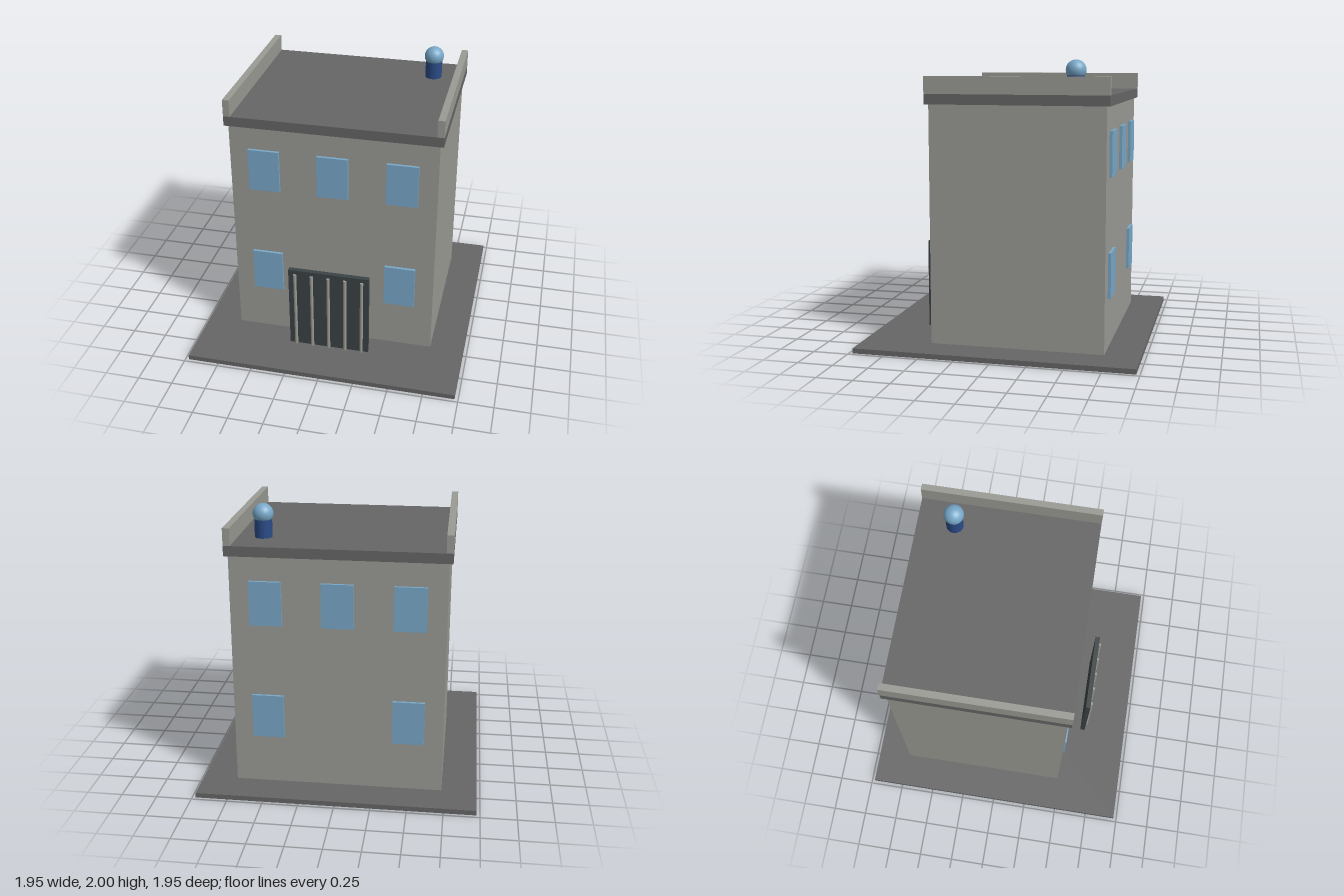
import * as THREE from 'three';

const material = (name, color) => {
  const m = new THREE.MeshStandardMaterial({ color });
  m.name = name;
  return m;
};

export function createModel() {
  const wall = material('wall grey', 0x9a9a94);
  const slab = material('slab grey', 0x666666);
  const glass = material('glass blue', 0x78a8c8);
  const iron = material('dark iron', 0x3b4344);
  const navy = material('navy blue', 0x2a4a85);

  const model = new THREE.Group();
  model.name = 'building';

  const add = (name, geometry, mat, x, y, z, parent = model) => {
    const mesh = new THREE.Mesh(geometry, mat);
    mesh.name = name;
    mesh.position.set(x, y, z);
    parent.add(mesh);
    return mesh;
  };
  // Box given by its minimum and maximum corners
  const box = (name, mat, [x0, y0, z0], [x1, y1, z1], parent) =>
    add(name, new THREE.BoxGeometry(x1 - x0, y1 - y0, z1 - z0), mat,
      (x0 + x1) / 2, (y0 + y1) / 2, (z0 + z1) / 2, parent);

  // Ground slab, main block and roof slab
  box('groundSlab', slab, [-0.975, 0, -0.975], [0.975, 0.035, 0.975]);
  box('walls', wall, [-0.73, 0.035, -0.73], [0.73, 1.7, 0.487]);
  box('roofSlab', slab, [-0.755, 1.7, -0.755], [0.755, 1.77, 0.512]);

  // Parapets along both side edges
  box('leftParapet', wall, [0.708, 1.77, -0.755], [0.755, 1.89, 0.512]);
  box('rightParapet', wall, [-0.755, 1.77, -0.755], [-0.708, 1.89, 0.512]);

  // Windows, the same on front and back; none at the lower middle
  const windows = new THREE.Group();
  windows.name = 'windows';
  model.add(windows);
  for (const [z0, z1] of [[0.487, 0.508], [-0.75, -0.73]]) {
    for (const [y0, y1] of [[0.39, 0.705], [1.22, 1.53]]) {
      for (const x of [-0.487, 0, 0.487]) {
        if (x === 0 && y0 < 1) continue;
        box('window', glass, [x - 0.11, y0, z0], [x + 0.11, y1, z1], windows);
      }
    }
  }

  // Door behind the gate
  box('door', wall, [-0.15, 0.035, 0.487], [0.15, 0.58, 0.513]);

  // Free-standing gate with upright bars
  const gate = new THREE.Group();
  gate.name = 'gate';
  model.add(gate);
  box('gatePanel', iron, [-0.293, 0.035, 0.615], [0.293, 0.675, 0.65], gate);
  const bar = new THREE.CylinderGeometry(0.012, 0.012, 0.61, 12);
  for (let i = -2; i <= 2; i++) add('gateBar', bar, wall, i * 0.122, 0.34, 0.655, gate);

  // Roof beacon
  add('beaconPost', new THREE.CylinderGeometry(0.06, 0.06, 0.15, 32), navy, 0.535, 1.845, -0.49);
  add('beaconGlobe', new THREE.SphereGeometry(0.07, 32, 20), glass, 0.535, 1.93, -0.49);

  return model;
}
